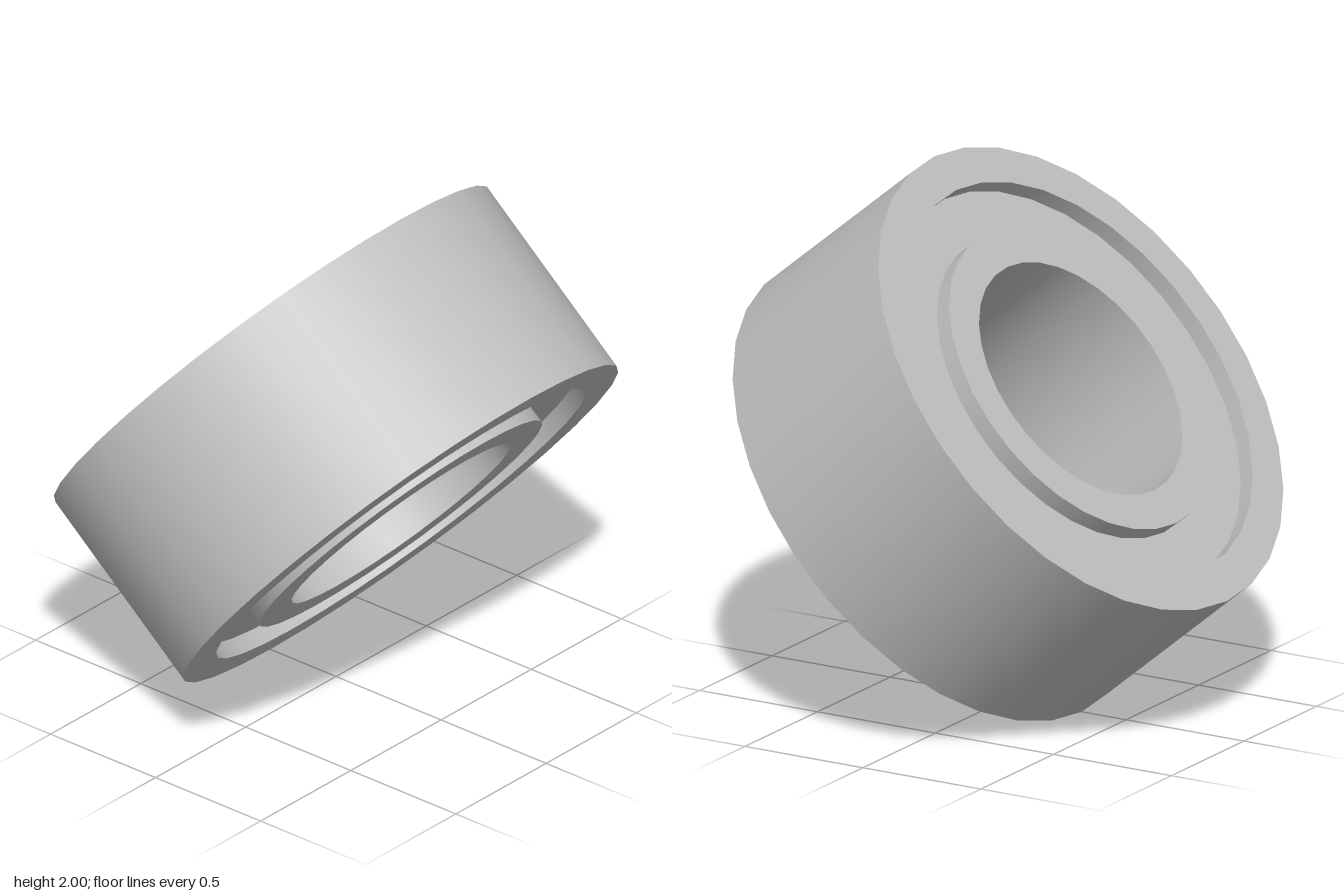
import * as THREE from 'three';
import { toCreasedNormals } from 'three/addons/utils/BufferGeometryUtils.js';

const SEGMENTS = 32;
const HALF_WIDTH = 0.4025;
const RECESS = 0.067;

// Closed ring of rectangular section around the y axis
function ring(name, inner, outer, half, material) {
  const profile = [
    [outer, -half], [outer, half], [inner, half], [inner, -half], [outer, -half],
  ].map(([r, y]) => new THREE.Vector2(r, y));
  const geometry = toCreasedNormals(new THREE.LatheGeometry(profile, SEGMENTS), 0.6);
  const mesh = new THREE.Mesh(geometry, material);
  mesh.name = name;
  return mesh;
}

export function createModel() {
  const steel = new THREE.MeshStandardMaterial({ color: 0xc0c0c0 });
  steel.name = 'steel grey';

  const bearing = new THREE.Group();
  bearing.name = 'bearing';
  bearing.add(
    ring('outerRace', 0.82, 0.966, HALF_WIDTH, steel),
    ring('innerRace', 0.485, 0.628, HALF_WIDTH, steel),
    // Shield sits below the rims of both races on each side
    ring('shield', 0.628, 0.82, HALF_WIDTH - RECESS, steel),
  );

  // Tilted back, resting on its lower edge
  bearing.rotation.x = THREE.MathUtils.degToRad(-50);
  bearing.position.y = 1;

  const model = new THREE.Group();
  model.name = 'ballBearing';
  model.add(bearing);
  return model;
}
